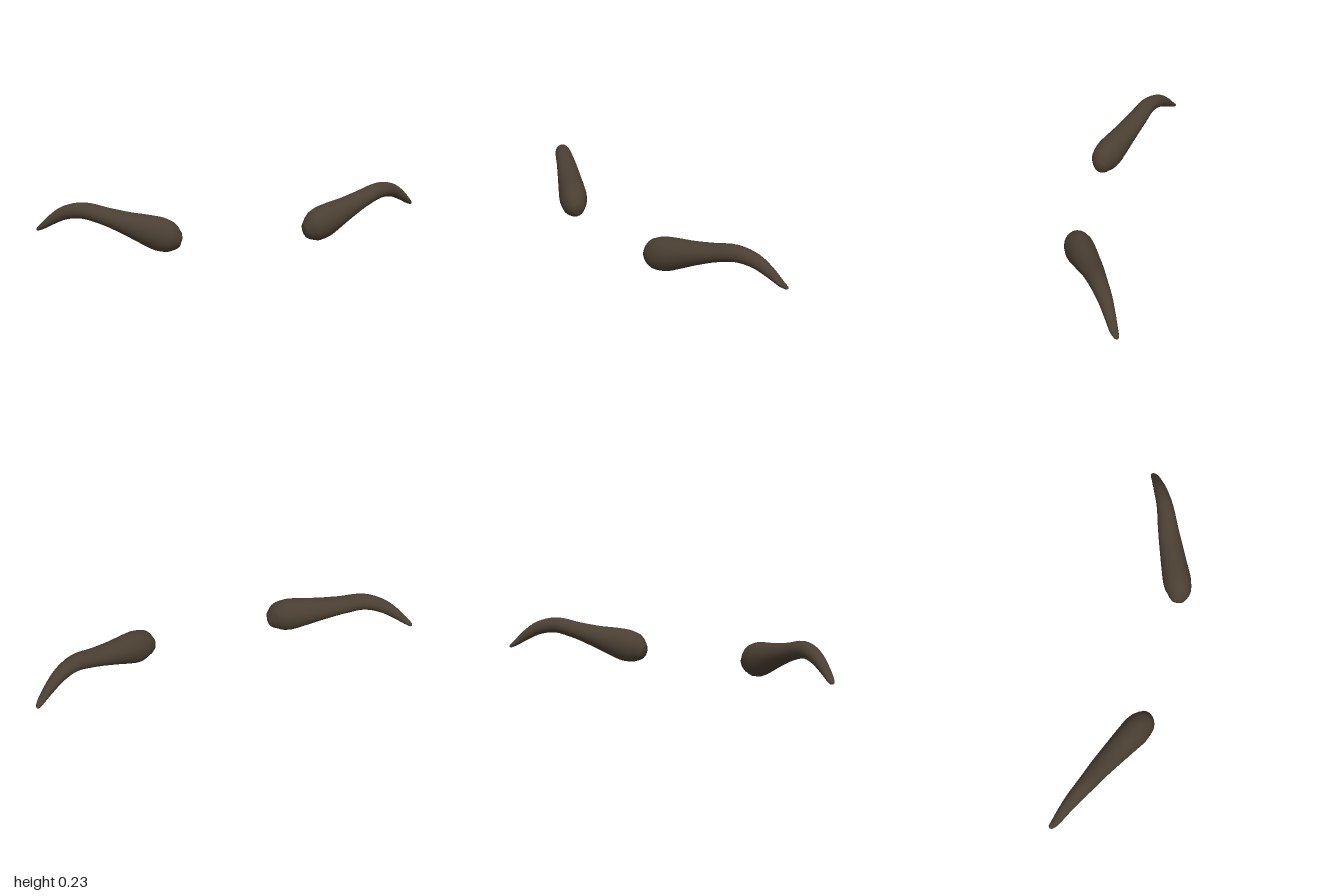
import * as THREE from 'three';

// Spine stations, inner end to outer tip: x, y, z, half height, half thickness
const STATIONS = [
  [0.309, 0.064, 0.13, 0, 0],
  [0.315, 0.065, 0.129, 0.032, 0.028],
  [0.335, 0.068, 0.127, 0.056, 0.047],
  [0.37, 0.077, 0.121, 0.078, 0.066],
  [0.42, 0.091, 0.1, 0.085, 0.073],
  [0.48, 0.109, 0.072, 0.076, 0.069],
  [0.56, 0.132, 0.035, 0.059, 0.062],
  [0.66, 0.162, -0.01, 0.045, 0.053],
  [0.77, 0.188, -0.056, 0.041, 0.043],
  [0.855, 0.171, -0.1, 0.035, 0.035],
  [0.92, 0.129, -0.134, 0.026, 0.027],
  [0.97, 0.086, -0.161, 0.015, 0.02],
  [0.992, 0.068, -0.178, 0.008, 0.011],
  [0.997, 0.064, -0.182, 0, 0],
];
const RINGS = 52;
const SIDES = 20;

// Sweeps an oval along the spine; side is +1 for the left brow, -1 for the right
function browGeometry(side) {
  const spine = new THREE.CatmullRomCurve3(STATIONS.map(([x, y, z]) => new THREE.Vector3(x, y, z)));
  const radii = new THREE.CatmullRomCurve3(STATIONS.map((s) => new THREE.Vector3(s[3], s[4], 0)));
  const vertical = new THREE.Vector3(0, 1, 0);
  const positions = [];
  const indices = [];
  for (let i = 0; i <= RINGS; i++) {
    const t = i / RINGS;
    const centre = spine.getPoint(t);
    const radius = radii.getPoint(t);
    const tangent = spine.getTangent(t);
    const across = new THREE.Vector3().crossVectors(tangent, vertical).normalize();
    const up = new THREE.Vector3().crossVectors(across, tangent);
    for (let j = 0; j < SIDES; j++) {
      const a = (j / SIDES) * Math.PI * 2;
      const p = centre.clone()
        .addScaledVector(across, Math.cos(a) * Math.max(radius.y, 0))
        .addScaledVector(up, Math.sin(a) * Math.max(radius.x, 0));
      positions.push(p.x * side, p.y, p.z);
      if (i === RINGS) continue;
      const k = (j + 1) % SIDES;
      const [p0, p1, q0, q1] = [i * SIDES + j, i * SIDES + k, (i + 1) * SIDES + j, (i + 1) * SIDES + k];
      // The mirrored brow needs the opposite winding
      if (side > 0) indices.push(p0, q0, p1, p1, q0, q1);
      else indices.push(p0, p1, q0, p1, q1, q0);
    }
  }
  const geometry = new THREE.BufferGeometry();
  geometry.setAttribute('position', new THREE.Float32BufferAttribute(positions, 3));
  geometry.setIndex(indices);
  geometry.computeVertexNormals();
  return geometry;
}

export function createModel() {
  const group = new THREE.Group();
  group.name = 'eyebrows';
  const material = new THREE.MeshStandardMaterial({ color: 0x4a3f32 });
  for (const [name, side] of [['leftEyebrow', 1], ['rightEyebrow', -1]]) {
    const brow = new THREE.Mesh(browGeometry(side), material);
    brow.name = name;
    group.add(brow);
  }
  return group;
}
